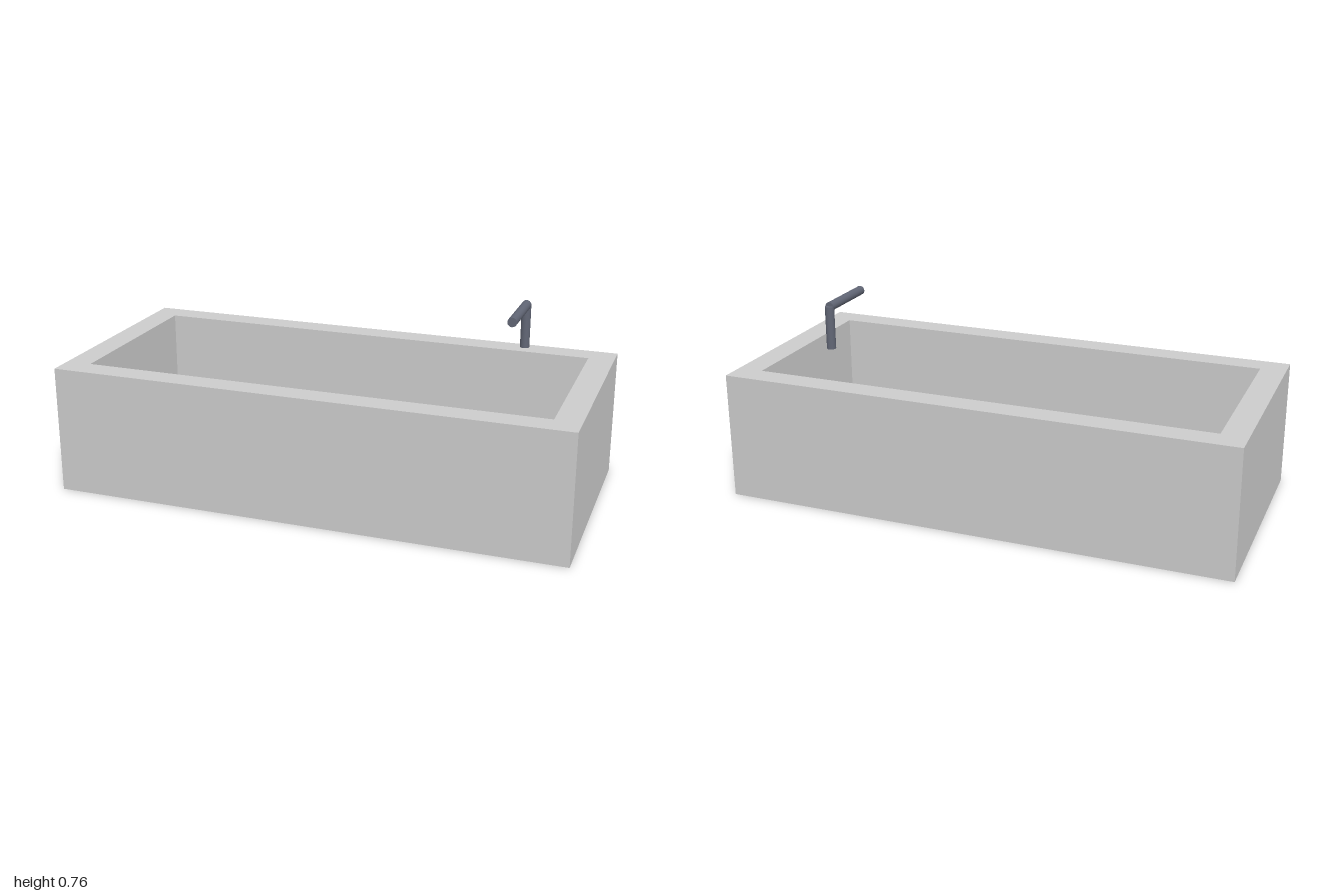
import * as THREE from 'three';

const material = (color) => new THREE.MeshStandardMaterial({ color });

export function createModel() {
  const group = new THREE.Group();
  const grey = material(0xcccccc);
  const floorGrey = material(0xaaaeb5);
  const metal = material(0x616675);

  const add = (name, geometry, mat, x = 0, y = 0, z = 0) => {
    const mesh = new THREE.Mesh(geometry, mat);
    mesh.name = name;
    mesh.position.set(x, y, z);
    group.add(mesh);
    return mesh;
  };

  // Rectangle outline centred on the origin
  const rectangle = (PathType, w, d) => new PathType([
    new THREE.Vector2(-w / 2, -d / 2), new THREE.Vector2(w / 2, -d / 2),
    new THREE.Vector2(w / 2, d / 2), new THREE.Vector2(-w / 2, d / 2),
  ]);

  // Thick walls, open right through from top to bottom
  const outline = rectangle(THREE.Shape, 2, 0.915);
  outline.holes.push(rectangle(THREE.Path, 1.8, 0.72));
  const walls = new THREE.ExtrudeGeometry(outline, { depth: 0.5, bevelEnabled: false });
  walls.rotateX(-Math.PI / 2);
  add('basinWalls', walls, grey);

  // Floor slab, raised slightly off the ground
  add('basinFloor', new THREE.BoxGeometry(1.8, 0.085, 0.72), floorGrey, 0, 0.0775, 0);

  // Four short round feet under the floor
  for (const x of [-0.76, 0.76]) {
    for (const z of [-0.28, 0.28]) {
      add('foot', new THREE.CylinderGeometry(0.03, 0.03, 0.035, 20), metal, x, 0.0175, z);
    }
  }

  // Tap: an upright pipe and a spout reaching forward
  add('tapPipe', new THREE.CylinderGeometry(0.018, 0.018, 0.17, 20), metal, 0.677, 0.655, -0.201);
  const spout = new THREE.CylinderGeometry(0.018, 0.018, 0.257, 20);
  spout.rotateX(Math.PI / 2);
  add('tapSpout', spout, metal, 0.677, 0.738, -0.073);

  return group;
}
